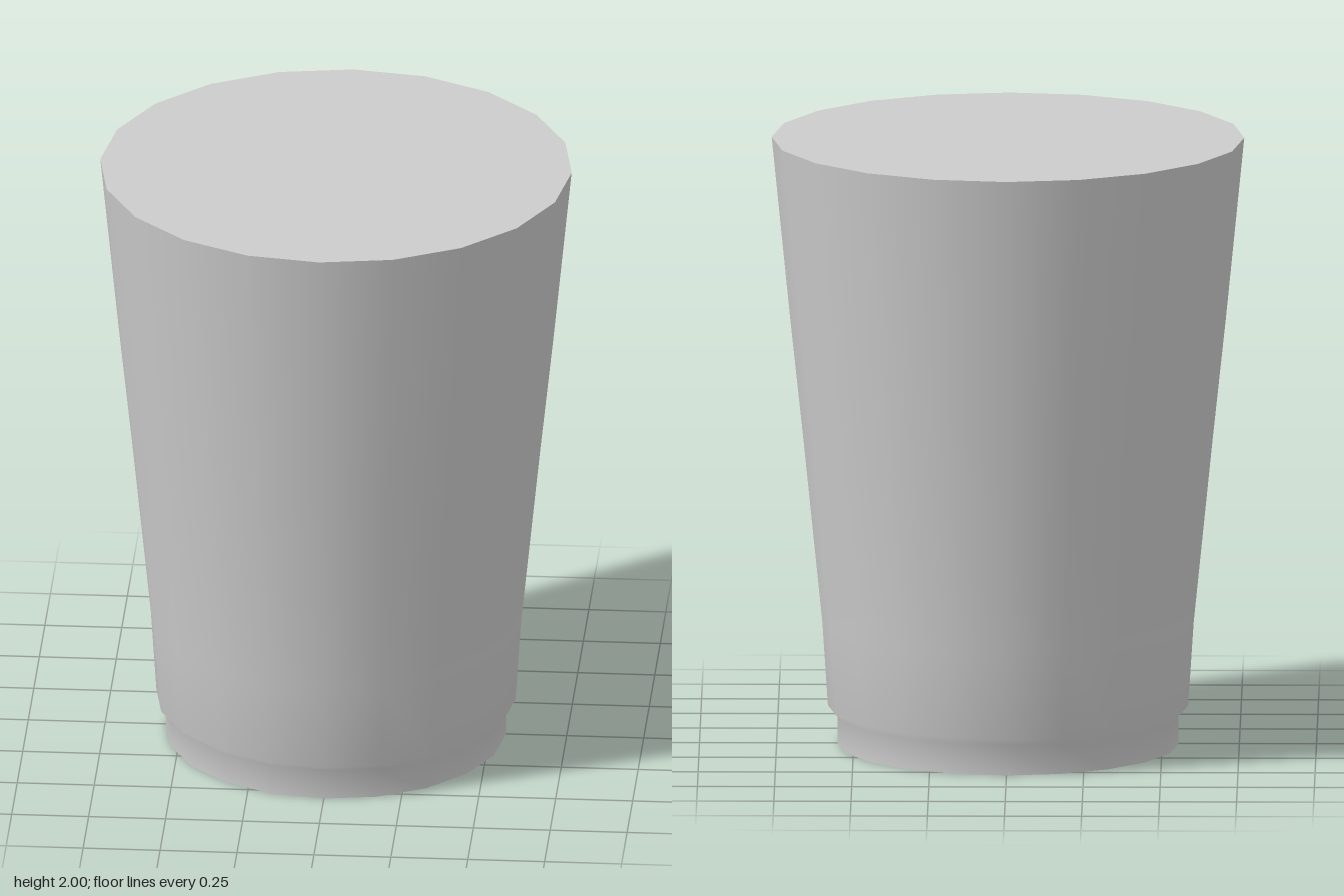
import * as THREE from 'three';

const SIDES = 20;

export function createModel() {
  const model = new THREE.Group();
  const material = new THREE.MeshStandardMaterial({ color: 0xcccccc });

  const add = (name, geometry) => {
    const mesh = new THREE.Mesh(geometry, material);
    mesh.name = name;
    model.add(mesh);
    return mesh;
  };

  // Flared wall with a narrow foot, a small ledge and a slight outward curve
  const profile = [
    [0.553, 0], [0.553, 0.1], [0.584, 0.125], [0.602, 0.4],
    [0.663, 1], [0.706, 1.4], [0.766, 2],
  ].map(([r, y]) => new THREE.Vector2(r, y));
  add('cupWall', new THREE.LatheGeometry(profile, SIDES));

  // Flat discs closing the top and the base
  const top = add('topDisc', new THREE.CircleGeometry(0.766, SIDES));
  top.rotation.x = -Math.PI / 2;
  top.position.y = 2;

  const base = add('baseDisc', new THREE.CircleGeometry(0.553, SIDES));
  base.rotation.x = Math.PI / 2;

  return model;
}
